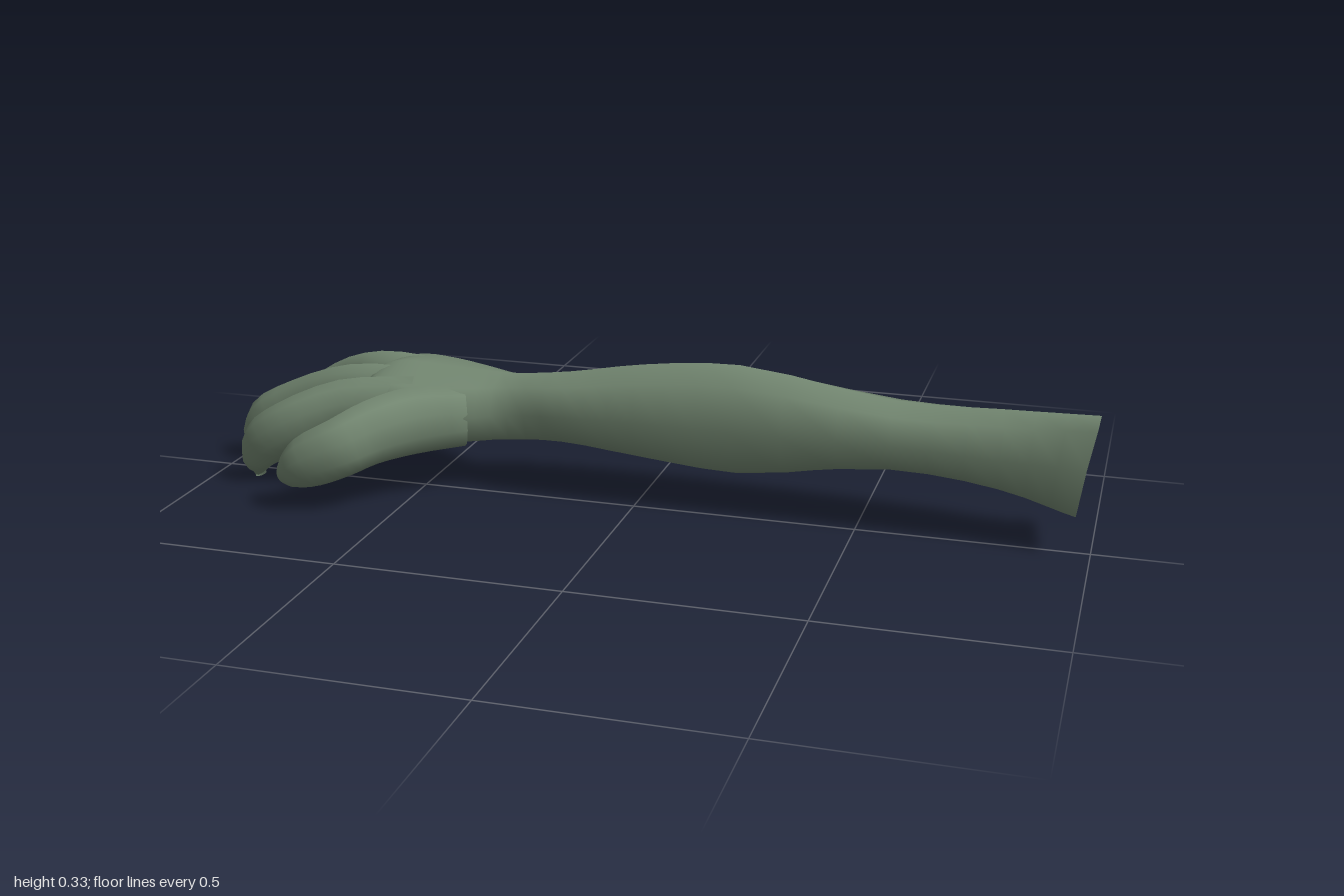
import * as THREE from 'three';

const skin = new THREE.MeshStandardMaterial({ color: 0x748872 });
const cut = new THREE.MeshStandardMaterial({ color: 0x66702c });
const V = (x, y, z) => new THREE.Vector3(x, y, z);
const centroid = (ring) => ring.reduce((s, p) => s.add(p), V(0, 0, 0)).divideScalar(ring.length);

function meshFrom(name, points, index, material) {
  const g = new THREE.BufferGeometry().setFromPoints(points);
  g.setIndex(index);
  g.computeVertexNormals();
  const m = new THREE.Mesh(g, material);
  m.name = name;
  return m;
}

// Skins a row of rings smoothly along its length and closes the far end
function loft(name, rings, steps) {
  const n = rings[0].length;
  const columns = rings[0].map((_, j) =>
    new THREE.CatmullRomCurve3(rings.map((r) => r[j]), false, 'centripetal').getPoints((rings.length - 1) * steps));
  const rows = columns[0].length;
  const points = [];
  const index = [];
  for (let i = 0; i < rows; i++) for (let j = 0; j < n; j++) points.push(columns[j][i]);
  for (let i = 0; i < rows - 1; i++) {
    for (let j = 0; j < n; j++) {
      const k = (j + 1) % n;
      const a = i * n + j, b = i * n + k, c = a + n, d = b + n;
      index.push(a, c, b, b, c, d);
    }
  }
  const tip = points.push(centroid(rings[rings.length - 1])) - 1;
  for (let j = 0; j < n; j++) index.push((rows - 1) * n + j, tip, (rows - 1) * n + ((j + 1) % n));
  return meshFrom(name, points, index, skin);
}

// Eight-point upright ring from its bounds, fuller than an ellipse
function boundsRing([x, y0, y1, z0, z1]) {
  const full = (v) => Math.sign(v) * Math.pow(Math.abs(v), 0.78);
  return Array.from({ length: 8 }, (_, j) => {
    const a = (j * Math.PI) / 4;
    return V(x, (y0 + y1) / 2 + (full(Math.cos(a)) * (y1 - y0)) / 2,
      (z0 + z1) / 2 + (full(Math.sin(a)) * (z1 - z0)) / 2);
  });
}

// Finger from stations [x, y, z, half width, half height], rings square to its path
function finger(name, stations) {
  const centres = stations.map(([x, y, z]) => V(x, y, z));
  const rings = stations.map(([, , , w, h], i) => {
    const t = centres[Math.min(i + 1, centres.length - 1)].clone()
      .sub(centres[Math.max(i - 1, 0)]).normalize();
    const side = V(0, 1, 0).cross(t).normalize();
    const up = t.clone().cross(side);
    return Array.from({ length: 10 }, (_, j) => {
      const a = (j * Math.PI) / 5;
      return centres[i].clone().addScaledVector(up, Math.cos(a) * h).addScaledVector(side, Math.sin(a) * w);
    });
  });
  return loft(name, rings, 3);
}

export function createModel() {
  const group = new THREE.Group();
  group.name = 'arm';

  // Slanted end of the upper arm
  const endRing = [
    V(1, 0.312, 0), V(0.995, 0.28, 0.015), V(0.98, 0.2, 0.03), V(0.965, 0.095, 0.025),
    V(0.935, 0.07, -0.06), V(0.955, 0.105, -0.14), V(0.97, 0.21, -0.105), V(0.99, 0.29, -0.045),
  ];

  // Upper arm, elbow, forearm, wrist and palm: [x, bottom, top, back, front]
  const stations = [
    [0.8, 0.11, 0.29, -0.135, 0.02],
    [0.57, 0.133, 0.285, -0.157, 0.02],
    [0.22, 0.08, 0.332, -0.176, 0.02],
    [0, 0.1, 0.315, -0.176, 0.02],
    [-0.17, 0.12, 0.285, -0.166, 0.014],
    [-0.3, 0.112, 0.272, -0.142, 0.002],
    [-0.4, 0.105, 0.27, -0.2, 0.045],
    [-0.5, 0.1, 0.271, -0.25, 0.075],
    [-0.59, 0.105, 0.271, -0.262, 0.075],
    [-0.64, 0.125, 0.255, -0.245, 0.06],
    [-0.66, 0.16, 0.22, -0.21, 0.02],
  ];
  group.add(loft('armAndPalm', [endRing, ...stations.map(boundsRing)], 3));

  // Cut face closing the upper arm
  const index = endRing.flatMap((_, j) => [8, j, (j + 1) % 8]);
  group.add(meshFrom('shoulderCut', [...endRing, centroid(endRing)], index, cut));

  // Fingers curl down towards their tips
  group.add(finger('littleFinger', [
    [-0.52, 0.185, -0.185, 0.05, 0.07],
    [-0.68, 0.19, -0.198, 0.053, 0.067],
    [-0.8, 0.15, -0.225, 0.04, 0.062],
    [-0.87, 0.097, -0.215, 0.04, 0.056],
    [-0.897, 0.045, -0.193, 0.033, 0.038],
    [-0.895, 0.014, -0.185, 0.012, 0.014],
  ]));
  group.add(finger('middleFinger', [
    [-0.52, 0.19, -0.07, 0.05, 0.075],
    [-0.7, 0.193, -0.07, 0.05, 0.066],
    [-0.84, 0.15, -0.07, 0.042, 0.06],
    [-0.935, 0.098, -0.07, 0.04, 0.055],
    [-0.96, 0.045, -0.072, 0.032, 0.036],
    [-0.95, 0.01, -0.072, 0.012, 0.014],
  ]));
  group.add(finger('indexFinger', [
    [-0.52, 0.19, 0.0, 0.05, 0.075],
    [-0.68, 0.188, 0.035, 0.05, 0.066],
    [-0.8, 0.145, 0.078, 0.042, 0.06],
    [-0.87, 0.095, 0.078, 0.04, 0.055],
    [-0.895, 0.045, 0.068, 0.032, 0.036],
    [-0.89, 0.014, 0.062, 0.012, 0.014],
  ]));
  group.add(finger('thumb', [
    [-0.4, 0.18, 0.0, 0.04, 0.07],
    [-0.5, 0.18, 0.06, 0.06, 0.08],
    [-0.57, 0.17, 0.14, 0.055, 0.077],
    [-0.62, 0.148, 0.198, 0.05, 0.07],
    [-0.69, 0.115, 0.22, 0.042, 0.06],
    [-0.735, 0.087, 0.222, 0.03, 0.038],
    [-0.757, 0.075, 0.222, 0.01, 0.014],
  ]));
  return group;
}
